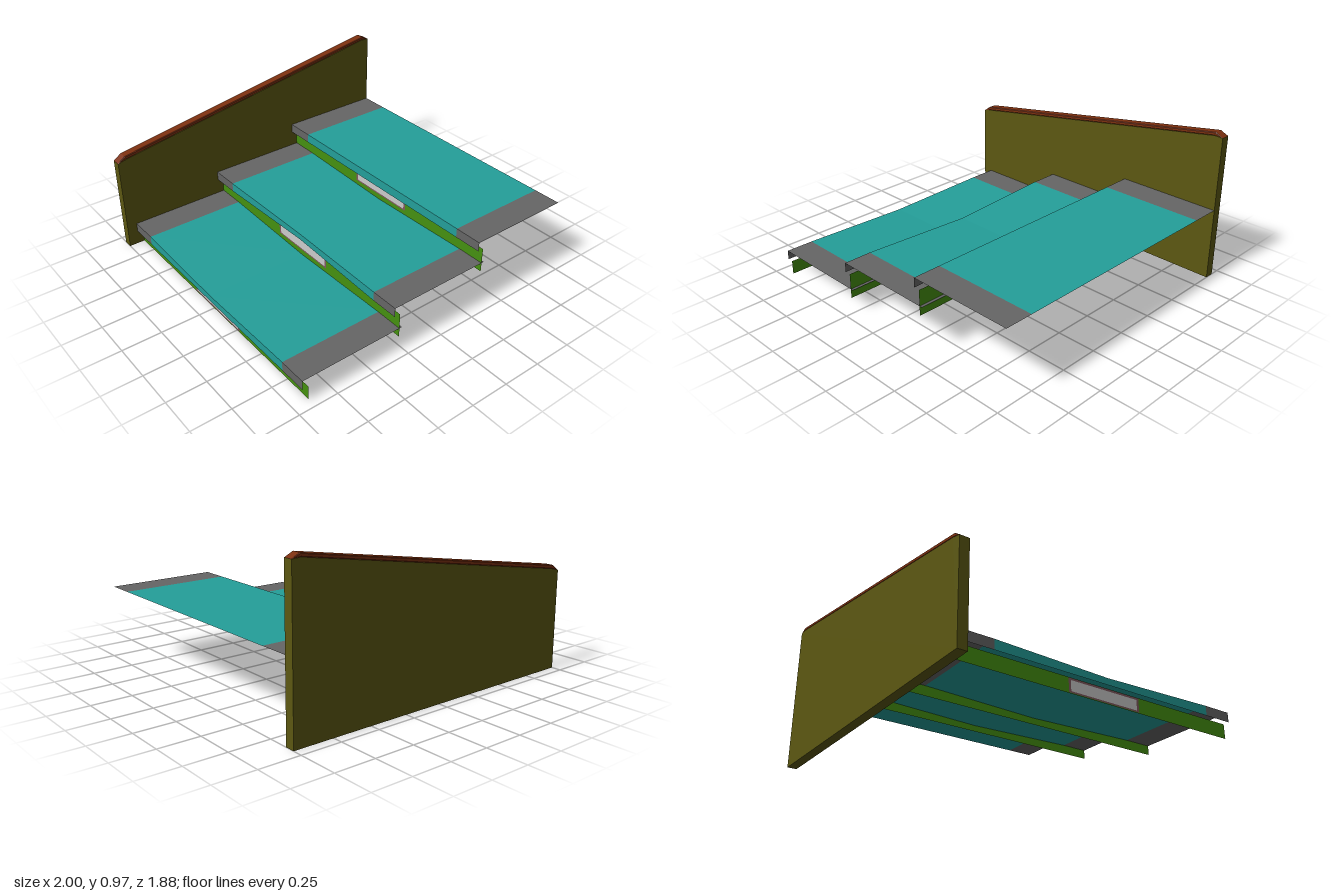
import * as THREE from 'three';

const mat = (color) => new THREE.MeshStandardMaterial({ color, flatShading: true, side: THREE.DoubleSide });
const teal = mat(0x249f9a), grey = mat(0x666666), green = mat(0x459010);
const olive = mat(0x5c5812), brown = mat(0x7c300f), mauve = mat(0x80585f), pale = mat(0xcccccc);

// Open sheet lofted through cross-sections (arrays of [x, y, z]) of equal length
function loft(name, sections, material) {
  const n = sections[0].length, index = [];
  for (let i = 0; i < sections.length - 1; i++) {
    for (let j = 0; j < n - 1; j++) {
      const a = i * n + j, b = a + n;
      index.push(a, b, a + 1, a + 1, b, b + 1);
    }
  }
  const geo = new THREE.BufferGeometry();
  geo.setAttribute('position', new THREE.Float32BufferAttribute(sections.flat(2), 3));
  geo.setIndex(index);
  geo.computeVertexNormals();
  const mesh = new THREE.Mesh(geo, material);
  mesh.name = name;
  return mesh;
}

// Flat panel facing x, with an optional rectangular hole; rectangles are [z0, z1, y0, y1]
function panel(name, x, outer, hole, material) {
  const corners = ([z0, z1, y0, y1]) =>
    [[z0, y0], [z1, y0], [z1, y1], [z0, y1]].map(([z, y]) => new THREE.Vector2(-z, y));
  const shape = new THREE.Shape(corners(outer));
  if (hole) shape.holes.push(new THREE.Path(corners(hole)));
  const mesh = new THREE.Mesh(new THREE.ShapeGeometry(shape), material);
  mesh.rotation.y = Math.PI / 2;
  mesh.position.x = x;
  mesh.name = name;
  return mesh;
}

// Upright slab in the xy plane between z0 and z1
function slab(name, pts, z0, z1, material, bevel = 0) {
  const shape = new THREE.Shape(pts.map(([x, y]) => new THREE.Vector2(x, y)));
  const geo = new THREE.ExtrudeGeometry(shape, {
    depth: z1 - z0 - 2 * bevel, bevelEnabled: bevel > 0,
    bevelThickness: bevel, bevelSize: bevel, bevelOffset: -bevel, bevelSegments: 1,
  });
  geo.translate(0, 0, z0 + bevel);
  const mesh = new THREE.Mesh(geo, material);
  mesh.name = name;
  return mesh;
}

// One step: folded tread sheet with worn middle, and a riser with a framed panel
function step(front, under, bottom, sag, dent) {
  const g = new THREE.Group();
  g.name = 'step';
  const section = (z, s = 0, d = 0) => [
    [front + d, under, z],
    [front + d, under + 0.06 - s, z],
    [front + 0.683, under + 0.06 - s, z],
  ];
  g.add(loft('treadEndFront', [section(0.94), section(0.76)], grey));
  g.add(loft('treadRunner', [section(0.76), section(0.03, sag, dent), section(-0.69)], teal));
  g.add(loft('treadEndBack', [section(-0.69), section(-0.88)], grey));

  const x = front + 0.038;
  const frame = [-0.205, 0.275, under - 0.085, under - 0.002];
  const inset = [-0.19, 0.26, under - 0.076, under - 0.014];
  g.add(panel('riser', x, [-0.88, 0.94, bottom, under], frame, green));
  g.add(panel('riserFrame', x, frame, inset, mauve));
  g.add(panel('riserPanel', x, inset, null, pale));
  return g;
}

export function createModel() {
  const model = new THREE.Group();
  model.name = 'staircase';

  // Three steps rising towards +x
  const sags = [0.02, 0.02, 0], dents = [0, 0.025, 0];
  for (let i = 0; i < 3; i++) {
    const under = 0.09 + 0.16 * i;
    model.add(step(-0.935 + 0.626 * i, under, Math.max(0, under - 0.16), sags[i], dents[i]));
  }

  // Sloping side wall with its coping
  model.add(slab('sideWall',
    [[-1, 0], [1, 0], [1, 0.942], [0.945, 0.945], [-0.94, 0.635], [-1, 0.62]], -0.94, -0.88, olive));
  model.add(slab('wallCoping',
    [[-1, 0.62], [-0.94, 0.635], [0.945, 0.945], [1, 0.942], [0.95, 0.967], [-0.95, 0.657]],
    -0.94, -0.88, brown, 0.004));
  return model;
}
